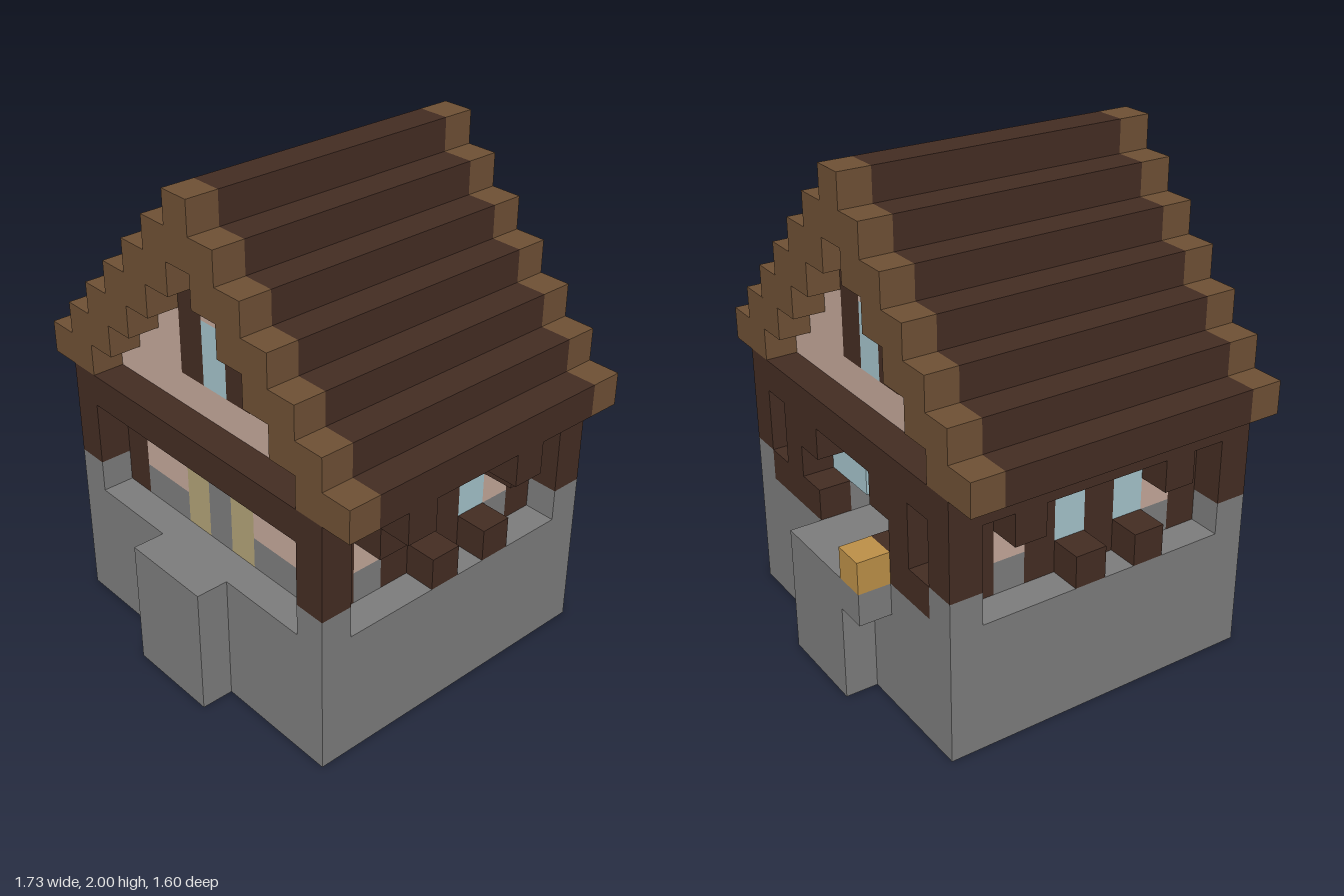
import * as THREE from 'three';

const U = 2 / 15; // one block

export function createModel() {
  const model = new THREE.Group();
  model.name = 'house';
  const mat = (name, color) => {
    const m = new THREE.MeshStandardMaterial({ color });
    m.name = name;
    return m;
  };
  const stone = mat('stone', 0x7b7b7b);
  const dark = mat('darkWood', 0x432c22);
  const trim = mat('brownWood', 0x6d4f34);
  const plaster = mat('plaster', 0xc2a698);
  const glass = mat('glass', 0xa3c1c9);
  const tan = mat('paleWood', 0xb0a176);
  const gold = mat('goldenWood', 0xba8e47);

  // Box between block coordinates
  const box = (name, m, x0, x1, y0, y1, z0, z1) => {
    const mesh = new THREE.Mesh(
      new THREE.BoxGeometry((x1 - x0) * U, (y1 - y0) * U, (z1 - z0) * U), m);
    mesh.position.set((x0 + x1) / 2 * U, (y0 + y1) / 2 * U, (z0 + z1) / 2 * U);
    mesh.name = name;
    model.add(mesh);
  };
  // Same box on the left and right
  const pair = (name, m, x0, x1, ...r) => {
    box(name, m, x0, x1, ...r);
    box(name, m, -x1, -x0, ...r);
  };

  // Foundation, porches and the lantern block
  box('foundation', stone, -5.5, 5.5, 0, 4, -5, 5);
  box('frontPorch', stone, -1.5, 1.5, 0, 4, 5, 6);
  box('backPorch', stone, -1.5, 1.5, 0, 4, -6, -5);
  box('lanternBase', stone, -2.5, -1.5, 3, 4, -6, -5);
  box('lanternBlock', gold, -2.5, -1.5, 4, 5, -6, -5);
  box('floor', tan, -3.5, 3.5, 4, 4.05, -3, 3);

  // Corner posts, inner posts and the beam ring
  for (const z of [-5, 4]) {
    pair('cornerBase', stone, 4.5, 5.5, 4, 5, z, z + 1);
    pair('cornerPost', dark, 4.5, 5.5, 5, 7, z, z + 1);
    box('crossBeam', dark, -5.5, 5.5, 7, 8, z, z + 1);
  }
  for (const z of [-4, 3]) pair('innerPost', dark, 3.5, 4.5, 4, 7, z, z + 1);
  box('ceiling', dark, -5.5, 5.5, 7, 8, -4, 4);

  // Front wall with door panels
  pair('frontWallBase', stone, 1.5, 3.5, 4, 5, 3, 4);
  pair('frontWall', plaster, 1.5, 3.5, 5, 7, 3, 4);
  box('doorLintel', stone, -1.5, 1.5, 6, 7, 3, 4);
  box('doorCentre', stone, -0.5, 0.5, 4, 6, 3, 4);
  pair('doorPanel', tan, 0.5, 1.5, 4, 6, 3, 4);

  // Back wall with windows and open doorway
  pair('backWallBase', stone, 1.5, 3.5, 4, 5, -4, -3);
  pair('backWall', plaster, 2.5, 3.5, 5, 7, -4, -3);
  pair('backWindow', glass, 0.5, 2.5, 5, 7, -4, -3);
  pair('backPlanter', dark, 1.5, 4.5, 4, 5, -5, -4);
  pair('backPost', dark, 2.5, 3.5, 5, 7, -5, -4);
  pair('backBracket', dark, 1.5, 2.5, 6, 7, -5, -4);

  // Side walls; the second is the first turned half way round
  for (const s of [1, -1]) {
    const side = (name, m, x0, x1, y0, y1, z0, z1) => s > 0
      ? box(name, m, x0, x1, y0, y1, z0, z1)
      : box(name, m, -x1, -x0, y0, y1, -z1, -z0);
    for (const z of [-3, 2]) {
      side('sideWallBase', stone, 3.5, 4.5, 4, 5, z, z + 1);
      side('sideWall', plaster, 3.5, 4.5, 5, 7, z, z + 1);
      side('sideBracket', dark, 4.5, 5.5, 6, 7, z, z + 1);
    }
    for (const z of [-1, 1]) side('sidePost', dark, 3.5, 4.5, 4, 7, z, z + 1);
    for (const z of [-2, 0]) {
      side('windowSill', stone, 3.5, 4.5, 4, 5, z, z + 1);
      side('sideWindow', glass, 3.5, 4.5, 5, 7, z, z + 1);
      side('planter', dark, 4.5, 5.5, 4, 5, z, z + 1);
    }
  }
  // Blocks hanging under one eave
  box('eaveBlock', dark, 5.5, 6.5, 7, 8, 2, 3);
  box('eaveBlock', dark, 5.5, 6.5, 7, 8, -2, -1);

  // Stepped roof with brown gable trim
  const layer = (name, m, k, z0, z1) => {
    const y = 8 + k, outer = 6.5 - k;
    if (k < 5) pair(name, m, outer - 2, outer, y, y + 1, z0, z1);
    else box(name, m, -outer, outer, y, y + 1, z0, z1);
  };
  for (let k = 0; k < 7; k++) {
    layer('roofStep', dark, k, -4, 4);
    layer('frontGableTrim', trim, k, 4, 5);
    layer('backGableTrim', trim, k, -5, -4);
  }

  // Gable walls with shuttered windows, set just proud of the roof core
  for (const z of [-4, 3]) {
    box('gableWall', plaster, -4.5, 4.5, 8, 9, z, z + 1);
    for (let k = 1; k < 3; k++)
      pair('gableWall', plaster, 1.5, 4.5 - k, 8 + k, 9 + k, z, z + 1);
    pair('shutter', dark, 0.5, 1.5, 9, 12, z, z + 1);
    box('gableWindow', glass, -0.5, 0.5, 9, 11, z, z + 1);
    box('gableTop', plaster, -0.5, 0.5, 11, 13, z, z + 1);
  }
  return model;
}
